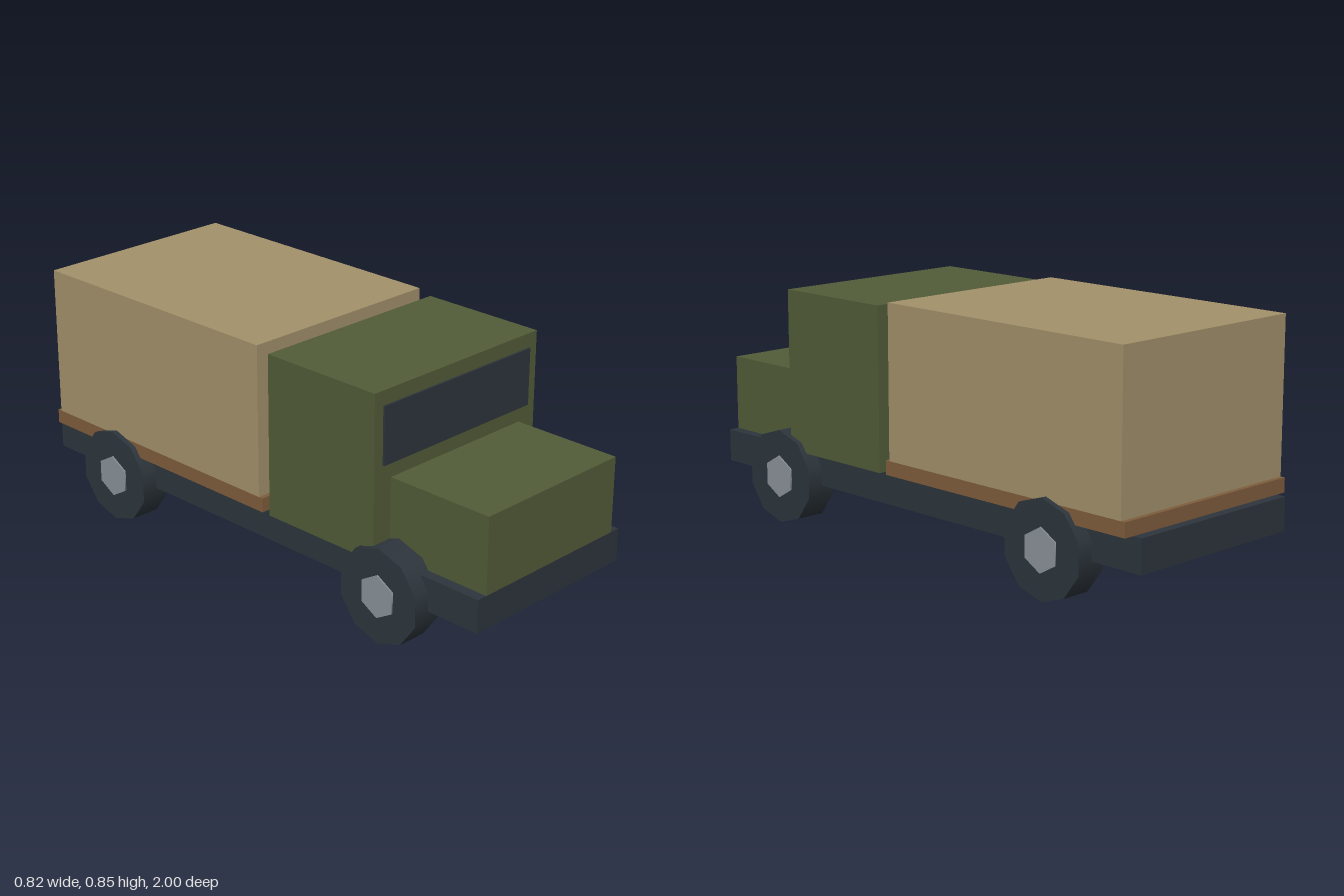
import * as THREE from 'three';

const material = (name, color) => {
  const m = new THREE.MeshStandardMaterial({ color });
  m.name = name;
  return m;
};

export function createModel() {
  const truck = new THREE.Group();
  truck.name = 'truck';

  const green = material('olive green', 0x525c38);
  const canvas = material('canvas tan', 0xa3916b);
  const wood = material('wood brown', 0x7f5d3c);
  const dark = material('dark slate', 0x2d353c);
  const steel = material('steel grey', 0x8a9299);

  // Box given by its half width and its y and z ranges
  const box = (name, mat, halfWidth, y0, y1, z0, z1) => {
    const mesh = new THREE.Mesh(new THREE.BoxGeometry(2 * halfWidth, y1 - y0, z1 - z0), mat);
    mesh.position.set(0, (y0 + y1) / 2, (z0 + z1) / 2);
    mesh.name = name;
    truck.add(mesh);
  };

  box('chassis', dark, 0.345, 0.152, 0.267, -1, 1);
  box('hood', green, 0.307, 0.267, 0.533, 0.6, 1);
  box('cab', green, 0.383, 0.267, 0.834, 0.133, 0.6);
  box('windshield', dark, 0.345, 0.584, 0.784, 0.6, 0.607);
  box('cargoBed', wood, 0.383, 0.267, 0.317, -0.967, 0.1);
  box('cargoCover', canvas, 0.383, 0.317, 0.85, -0.95, 0.083);

  // Cylinder lying along x with a corner at the top
  const disc = (radius, width, sides) =>
    new THREE.CylinderGeometry(radius, radius, width, sides, 1, false, Math.PI / 2).rotateZ(Math.PI / 2);
  const tireGeometry = disc(0.167, 0.107, 10);
  const hubGeometry = disc(0.075, 0.118, 6);

  // Four wheels, each a tire with a hub running through it
  for (const [end, z] of [['front', 0.64], ['rear', -0.64]]) {
    for (const [side, sign] of [['Left', 1], ['Right', -1]]) {
      const wheel = new THREE.Group();
      wheel.name = `${end}${side}Wheel`;
      const tire = new THREE.Mesh(tireGeometry, dark);
      tire.name = 'tire';
      const hub = new THREE.Mesh(hubGeometry, steel);
      hub.name = 'hub';
      wheel.add(tire, hub);
      wheel.position.set(sign * 0.35, 0.167, z);
      truck.add(wheel);
    }
  }

  return truck;
}
